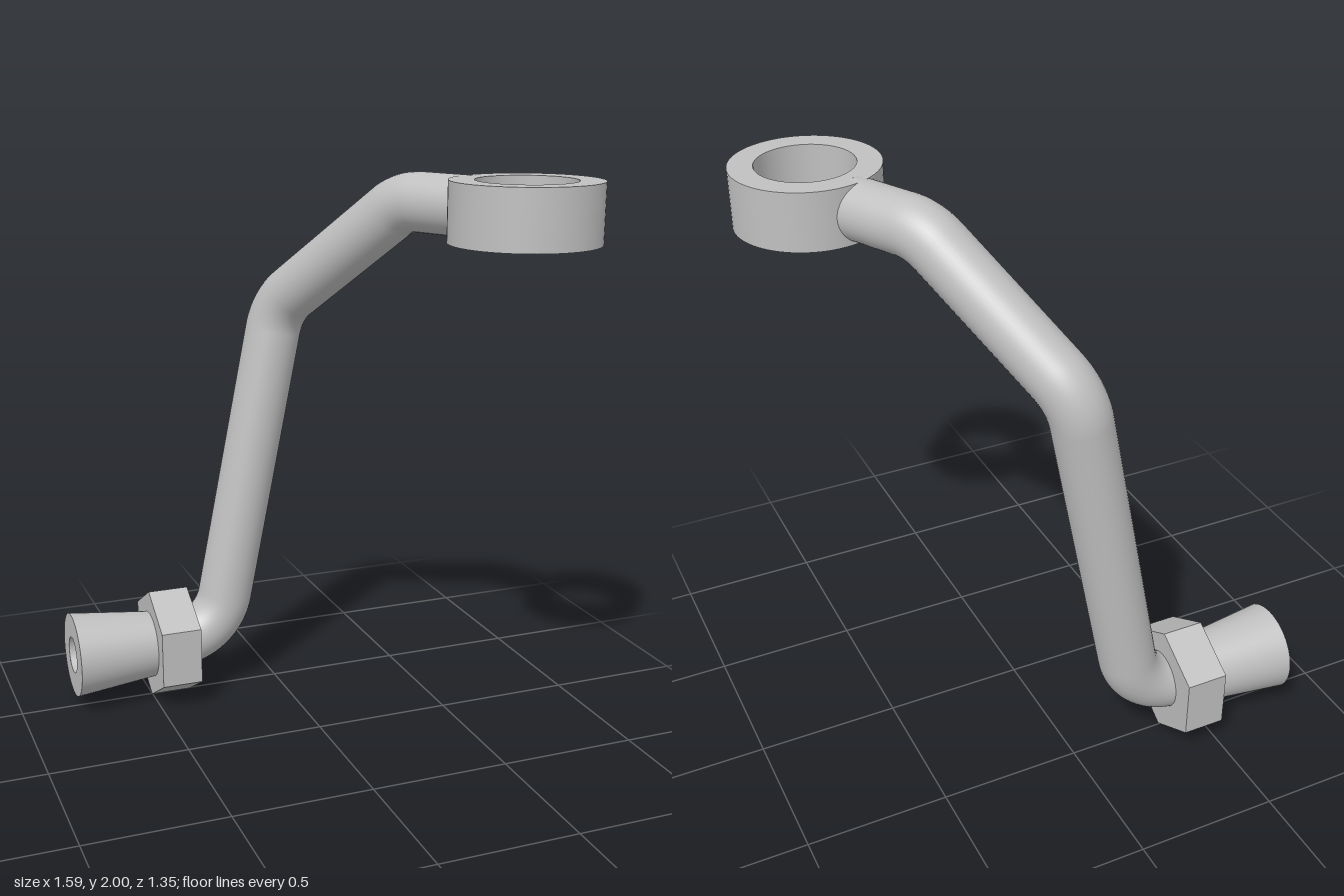
import * as THREE from 'three';

const V = (x, y, z) => new THREE.Vector3(x, y, z);
const PIPE_R = 0.102, BORE_R = 0.068;
const RING_OUT = 0.25, RING_IN = 0.166, RING_H = 0.2;
const AXIS_Y = 0.212, AXIS_Z = -0.495;
const ringCentre = V(0.54, 1.9, 0.42);
const corners = [V(-0.235, AXIS_Y, AXIS_Z), V(0.022, 1.483, AXIS_Z), V(0.315, 1.9, -0.02)];

// Circular fillet between two straight runs
class Bend extends THREE.Curve {
  constructor(corner, d0, d1, radius) {
    super();
    this.angle = d0.angleTo(d1);
    this.radius = radius;
    this.reach = radius * Math.tan(this.angle / 2);
    this.start = corner.clone().addScaledVector(d0, -this.reach);
    this.end = corner.clone().addScaledVector(d1, this.reach);
    this.d0 = d0;
    this.side = d1.clone().addScaledVector(d0, -d0.dot(d1)).normalize();
  }
  getPoint(t, target = new THREE.Vector3()) {
    const a = t * this.angle, r = this.radius;
    return target.copy(this.start)
      .addScaledVector(this.d0, r * Math.sin(a))
      .addScaledVector(this.side, r * (1 - Math.cos(a)));
  }
}

// Straight runs joined by bends
function bentPath(start, end) {
  const pts = [start, ...corners, end];
  const path = new THREE.CurvePath();
  let from = start;
  for (let i = 1; i < pts.length - 1; i++) {
    const d0 = pts[i].clone().sub(pts[i - 1]).normalize();
    const d1 = pts[i + 1].clone().sub(pts[i]).normalize();
    const bend = new Bend(pts[i], d0, d1, 0.205);
    path.add(new THREE.LineCurve3(from, bend.start));
    path.add(bend);
    from = bend.end;
  }
  path.add(new THREE.LineCurve3(from, end));
  return path;
}

// Turn a surface inside out
function inward(geo) {
  const idx = geo.index.array, n = geo.attributes.normal.array;
  for (let i = 0; i < idx.length; i += 3) [idx[i], idx[i + 1]] = [idx[i + 1], idx[i]];
  for (let i = 0; i < n.length; i++) n[i] = -n[i];
  return geo;
}

// Part of the ring's inner wall around the round bore opening
function portGeometry(u, halfAngle) {
  const w = V(-u.z, 0, u.x), N = 64, M = 5;
  const pos = [], nor = [], idx = [];
  for (let i = 0; i <= M; i++) {
    for (let j = 0; j <= N; j++) {
      const a = j / N * Math.PI * 2, c = Math.cos(a), s = Math.sin(a);
      const k = 1 / Math.max(Math.abs(c), Math.abs(s)), t = i / M;
      const th = THREE.MathUtils.lerp(Math.asin(BORE_R * c / RING_IN), halfAngle * c * k, t);
      const y = THREE.MathUtils.lerp(BORE_R * s, RING_H / 2 * s * k, t);
      const d = u.clone().multiplyScalar(Math.cos(th)).addScaledVector(w, Math.sin(th));
      pos.push(d.x * RING_IN, y, d.z * RING_IN);
      nor.push(-d.x, 0, -d.z);
      if (i < M && j < N) {
        const p = i * (N + 1) + j, q = p + N + 1;
        idx.push(p, q, q + 1, p, q + 1, p + 1);
      }
    }
  }
  const geo = new THREE.BufferGeometry();
  geo.setAttribute('position', new THREE.Float32BufferAttribute(pos, 3));
  geo.setAttribute('normal', new THREE.Float32BufferAttribute(nor, 3));
  geo.setIndex(idx);
  return geo;
}

export function createModel() {
  const model = new THREE.Group();
  model.name = 'bentPipeFitting';
  const steel = new THREE.MeshStandardMaterial({ color: 0xc0c0c0 });
  steel.name = 'steel grey';
  const add = (name, geo, parent = model) => {
    const mesh = new THREE.Mesh(geo, steel);
    mesh.name = name;
    parent.add(mesh);
    return mesh;
  };

  const dir = ringCentre.clone().sub(corners[2]).normalize();
  const back = dir.clone().negate();
  const alongEnd = (dist) => ringCentre.clone().addScaledVector(back, dist);

  // Pipe, ending inside the nut and inside the ring wall
  add('pipe', new THREE.TubeGeometry(
    bentPath(V(-0.45, AXIS_Y, AXIS_Z), alongEnd(0.21)), 160, PIPE_R, 40));

  // Bore through the whole fitting, its end trimmed to the ring's inner wall
  const bore = new THREE.TubeGeometry(
    bentPath(V(-0.8, AXIS_Y, AXIS_Z), alongEnd(RING_IN)), 160, BORE_R, 40);
  const p = bore.attributes.position, v = V(0, 0, 0);
  for (let i = p.count - 41; i < p.count; i++) {
    v.fromBufferAttribute(p, i).sub(ringCentre);
    const depth = v.dot(back);
    const side = Math.hypot(v.x - back.x * depth, v.z - back.z * depth);
    v.addScaledVector(back, Math.sqrt(RING_IN ** 2 - side ** 2) - depth).add(ringCentre);
    p.setXYZ(i, v.x, v.y, v.z);
  }
  add('bore', inward(bore));

  // Hexagonal nut
  const hex = new THREE.Shape();
  for (let i = 0; i < 6; i++) {
    const a = Math.PI / 2 + i * Math.PI / 3;
    hex[i ? 'lineTo' : 'moveTo'](0.21 * Math.cos(a), 0.21 * Math.sin(a));
  }
  hex.closePath();
  hex.holes.push(new THREE.Path().absarc(0, 0, BORE_R, 0, Math.PI * 2, true));
  const nut = add('hexNut', new THREE.ExtrudeGeometry(hex,
    { depth: 0.15, bevelEnabled: false, curveSegments: 20 }).rotateY(Math.PI / 2));
  nut.position.set(-0.502, AXIS_Y, AXIS_Z);

  // Flared nozzle with open end face
  const nozzle = new THREE.Group();
  nozzle.name = 'flaredNozzle';
  model.add(nozzle);
  add('nozzleWall', new THREE.CylinderGeometry(0.157, 0.124, 0.3, 48, 1, true)
    .rotateZ(Math.PI / 2).translate(-0.65, AXIS_Y, AXIS_Z), nozzle);
  add('nozzleFace', new THREE.RingGeometry(BORE_R, 0.157, 48)
    .rotateY(-Math.PI / 2).translate(-0.8, AXIS_Y, AXIS_Z), nozzle);

  // Ring eye at the top
  const eye = new THREE.Group();
  eye.name = 'ringEye';
  eye.position.copy(ringCentre);
  model.add(eye);
  const half = 0.6, th = Math.atan2(back.x, back.z);
  add('outerWall', new THREE.CylinderGeometry(RING_OUT, RING_OUT, RING_H, 72, 1, true), eye);
  add('innerWall', inward(new THREE.CylinderGeometry(RING_IN, RING_IN, RING_H, 60, 1, true,
    th + half, Math.PI * 2 - 2 * half)), eye);
  add('innerWallPort', portGeometry(back, half), eye);
  for (const s of [1, -1]) {
    add(s > 0 ? 'topFace' : 'bottomFace', new THREE.RingGeometry(RING_IN, RING_OUT, 72)
      .rotateX(-s * Math.PI / 2).translate(0, s * RING_H / 2, 0), eye);
  }
  return model;
}
